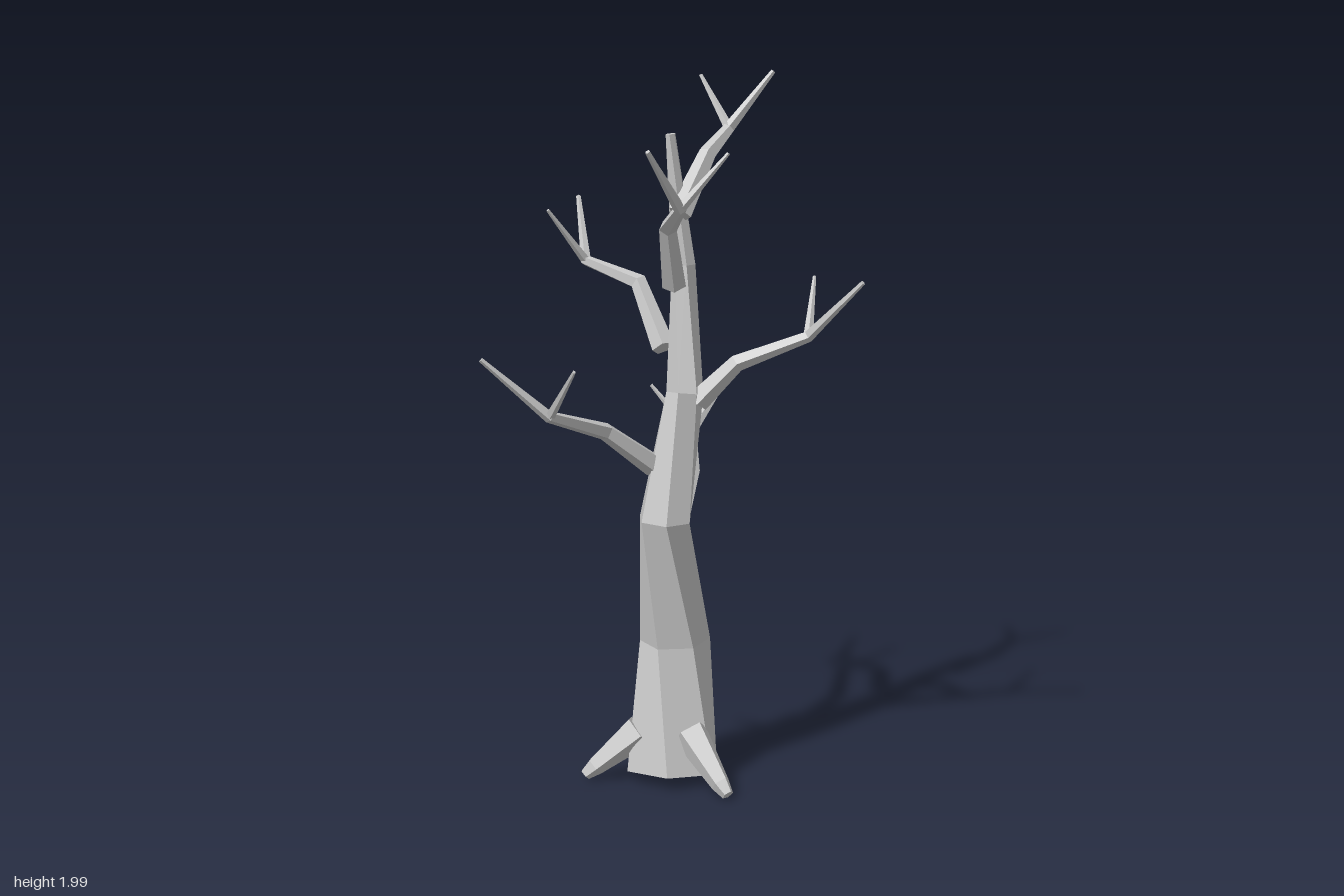
import * as THREE from 'three';

const bark = new THREE.MeshStandardMaterial({ color: 0xc8c8c8 });
bark.name = 'pale grey bark';

// Faceted capped limb through points [x, y, z, radius, phase in degrees]
function limb(name, pts, sides) {
  const centres = pts.map(p => new THREE.Vector3(p[0], p[1], p[2]));
  const up = new THREE.Vector3(0, 1, 0);
  const dirs = centres.slice(1).map((c, i) => c.clone().sub(centres[i]).normalize());
  const rings = pts.map((p, i) => {
    // each ring faces along the mean of its neighbouring segments
    const dir = (dirs[i - 1] || dirs[i]).clone().add(dirs[i] || dirs[i - 1]).normalize();
    const q = new THREE.Quaternion().setFromUnitVectors(up, dir);
    return Array.from({ length: sides }, (_, j) => {
      const a = (j / sides) * Math.PI * 2 + THREE.MathUtils.degToRad(p[4] || 0);
      return new THREE.Vector3(Math.cos(a) * p[3], 0, Math.sin(a) * p[3]).applyQuaternion(q).add(centres[i]);
    });
  });

  const pos = [], nor = [];
  const face = (corners, normal) => corners.forEach(c => {
    pos.push(c.x, c.y, c.z);
    nor.push(normal.x, normal.y, normal.z);
  });
  const end = rings.length - 1;
  for (let j = 0; j < sides; j++) {
    const k = (j + 1) % sides;
    // one flat normal for each four-sided facet
    for (let i = 0; i < end; i++) {
      const a = rings[i][j], b = rings[i][k], c = rings[i + 1][k], d = rings[i + 1][j];
      const normal = c.clone().sub(a).cross(b.clone().sub(d)).normalize();
      face([a, d, b, b, d, c], normal);
    }
    face([centres[0], rings[0][j], rings[0][k]], dirs[0].clone().negate());
    face([centres[end], rings[end][k], rings[end][j]], dirs[end - 1]);
  }
  const geo = new THREE.BufferGeometry();
  geo.setAttribute('position', new THREE.Float32BufferAttribute(pos, 3));
  geo.setAttribute('normal', new THREE.Float32BufferAttribute(nor, 3));
  const mesh = new THREE.Mesh(geo, bark);
  mesh.name = name;
  return mesh;
}

// Branch: base, elbow, fork, main tip, side twig tip
const branches = {
  lowerLeftBranch: [[-0.08, 0.92, -0.04], [-0.22, 1.03, -0.1], [-0.43, 1.1, -0.125], [-0.565, 1.26, -0.245], [-0.48, 1.24, 0]],
  lowerRightBranch: [[0.005, 0.7, -0.035], [0.18, 0.85, -0.1], [0.365, 0.92, -0.235], [0.565, 1.075, -0.235], [0.32, 1.06, -0.35]],
  frontBranch: [[0, 1.1, 0.05], [0.045, 1.21, 0.15], [0.18, 1.28, 0.295], [0.185, 1.44, 0.465], [0.295, 1.43, 0.24]],
  backBranch: [[-0.015, 1.24, -0.055], [0.03, 1.41, -0.175], [0.02, 1.46, -0.355], [0.125, 1.63, -0.465], [-0.1, 1.61, -0.395]],
  upperLeftBranch: [[-0.055, 1.425, 0.01], [-0.15, 1.59, 0.06], [-0.26, 1.655, 0.18], [-0.4, 1.81, 0.18], [-0.2, 1.8, 0.29]],
  topBranch: [[-0.015, 1.615, 0], [0.1, 1.77, 0.01], [0.24, 1.835, -0.015], [0.32, 1.993, 0.08], [0.265, 1.98, -0.13]],
};

// Root: buried start, knee, ground tip
const roots = {
  frontRoot: [[-0.06, 0.16, 0.07], [-0.09, 0.045, 0.195], [-0.097, 0.02, 0.225]],
  backLeftRoot: [[-0.1, 0.15, -0.08], [-0.18, 0.045, -0.178], [-0.2, 0.02, -0.2]],
  rightRoot: [[0.07, 0.14, -0.04], [0.183, 0.042, -0.073], [0.21, 0.02, -0.08]],
};

export function createModel() {
  const tree = new THREE.Group();
  tree.name = 'bareTree';

  // Crooked, twisting trunk
  tree.add(limb('trunk', [
    [-0.03, 0.03, -0.015, 0.14, 30],
    [0.01, 0.4, -0.035, 0.1, 53],
    [-0.075, 0.77, -0.008, 0.077, 80],
    [-0.01, 1.12, 0.014, 0.052, 105],
    [0.028, 1.47, -0.018, 0.034, 130],
    [-0.011, 1.83, -0.034, 0.014, 155],
  ], 6));

  // Forked branches
  for (const [name, [base, elbow, fork, tip, side]] of Object.entries(branches)) {
    const group = new THREE.Group();
    group.name = name;
    group.add(limb('bough', [[...base, 0.034], [...elbow, 0.025], [...fork, 0.017], [...tip, 0.007]], 5));
    group.add(limb('twig', [[...fork, 0.014], [...side, 0.005]], 5));
    tree.add(group);
  }

  // Roots
  for (const [name, [start, knee, end]] of Object.entries(roots)) {
    tree.add(limb(name, [[...start, 0.052], [...knee, 0.028], [...end, 0.017]], 5));
  }
  return tree;
}
